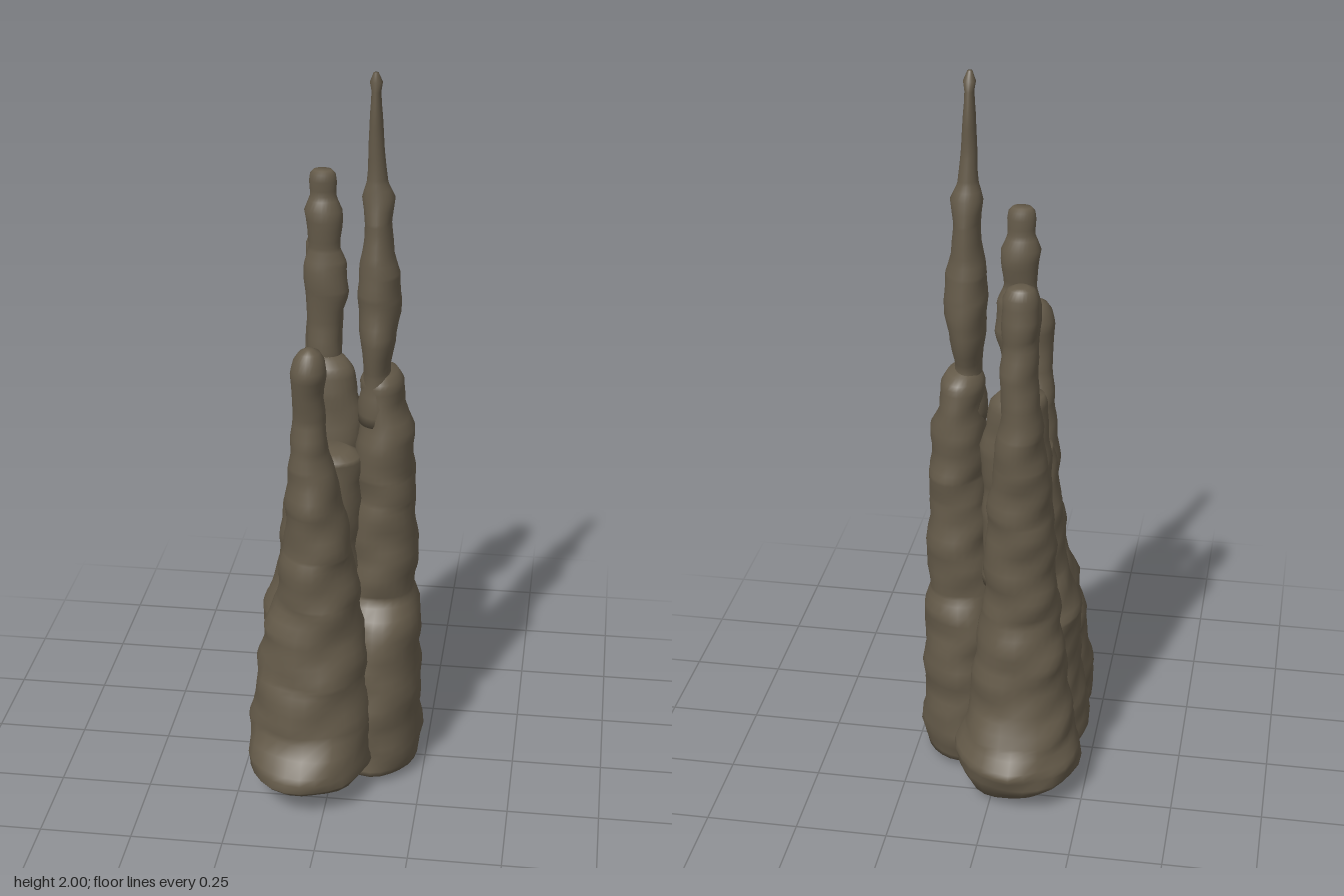
import * as THREE from 'three';

const SIDES = 26;

// Uneven, softly ledged rock surface: a signed radial offset around zero
function bump(x, y, z, seed) {
  return 0.45 * Math.sin(y * 34 + Math.sin(x * 17 + seed) * 2 + z * 9)
    + 0.35 * Math.sin(x * 31 + y * 13 + seed * 2.1) * Math.cos(z * 28 - y * 11)
    + 0.3 * Math.sin(y * 63 + x * 21 - z * 25 + seed);
}

// Closed column through cross-sections [y, centreX, centreZ, radiusX, radiusZ]
function column(name, rings, material, seed) {
  const last = rings.length - 1;
  const height = rings[last][0] - rings[0][0];
  const steps = Math.max(16, Math.round(height / 0.028));
  const section = (y) => {
    let i = 0;
    while (i < last - 1 && rings[i + 1][0] < y) i++;
    const a = rings[i], b = rings[i + 1];
    const t = THREE.MathUtils.clamp((y - a[0]) / (b[0] - a[0]), 0, 1);
    const s = t * 0.5 + t * t * (3 - 2 * t) * 0.5;
    return a.map((v, k) => v + (b[k] - v) * s);
  };
  // regular levels plus the profile's own levels
  const levels = new Set(rings.map((r) => r[0]));
  for (let i = 1; i < steps; i++) {
    const y = rings[0][0] + height * i / steps;
    if (rings.every((r) => Math.abs(r[0] - y) > 0.008)) levels.add(y);
  }
  const ys = [...levels].sort((a, b) => a - b);
  const pos = [], index = [];
  for (const y of ys) {
    const [, cx, cz, rx, rz] = section(y);
    const amount = Math.min(0.009, Math.min(rx, rz) * 0.1);
    for (let j = 0; j < SIDES; j++) {
      const a = j / SIDES * Math.PI * 2;
      const dx = Math.sin(a), dz = Math.cos(a);
      const d = amount * bump(cx + dx * rx, y, cz + dz * rz, seed);
      pos.push(cx + dx * (rx + d), y, cz + dz * (rz + d));
    }
  }
  for (let i = 0; i < ys.length - 1; i++) {
    for (let j = 0; j < SIDES; j++) {
      const a = i * SIDES + j, b = i * SIDES + (j + 1) % SIDES;
      index.push(a, b, b + SIDES, a, b + SIDES, a + SIDES);
    }
  }
  // end caps
  const n = ys.length * SIDES, top = n - SIDES;
  pos.push(rings[0][1], rings[0][0], rings[0][2], rings[last][1], rings[last][0], rings[last][2]);
  for (let j = 0; j < SIDES; j++) {
    const k = (j + 1) % SIDES;
    index.push(n, k, j, n + 1, top + j, top + k);
  }
  const geometry = new THREE.BufferGeometry();
  geometry.setAttribute('position', new THREE.Float32BufferAttribute(pos, 3));
  geometry.setIndex(index);
  geometry.computeVertexNormals();
  const mesh = new THREE.Mesh(geometry, material);
  mesh.name = name;
  return mesh;
}

export function createModel() {
  const rock = new THREE.MeshStandardMaterial({ color: 0x645a49 });
  rock.name = 'brown rock';
  const group = new THREE.Group();
  group.name = 'stalagmiteCluster';

  const parts = {
    // tall needle on the left, standing on a thick trunk
    tallSpire: [
      [1.05, 0.11, -0.01, 0.06, 0.07], [1.2, 0.102, -0.005, 0.037, 0.062],
      [1.28, 0.104, -0.01, 0.045, 0.077], [1.4, 0.105, -0.017, 0.06, 0.073],
      [1.46, 0.104, -0.012, 0.053, 0.065], [1.52, 0.102, -0.012, 0.042, 0.06],
      [1.6, 0.102, -0.017, 0.036, 0.052], [1.67, 0.1, -0.015, 0.041, 0.038],
      [1.71, 0.098, -0.012, 0.028, 0.031], [1.8, 0.096, -0.007, 0.02, 0.023],
      [1.89, 0.095, -0.004, 0.016, 0.025], [1.95, 0.095, 0, 0.013, 0.02],
      [1.975, 0.095, 0.003, 0.016, 0.015], [2, 0.095, 0.008, 0.006, 0.006]],
    leftTrunk: [
      [0.015, 0.1, 0, 0.09, 0.12], [0.03, 0.11, 0, 0.12, 0.165],
      [0.12, 0.11, 0, 0.128, 0.172], [0.3, 0.112, 0, 0.12, 0.168],
      [0.47, 0.11, -0.01, 0.118, 0.148], [0.54, 0.115, -0.025, 0.1, 0.112],
      [0.75, 0.125, -0.023, 0.092, 0.108], [0.82, 0.125, -0.02, 0.082, 0.1],
      [0.9, 0.127, -0.02, 0.08, 0.103], [1.03, 0.125, -0.02, 0.076, 0.097],
      [1.09, 0.12, -0.024, 0.058, 0.09], [1.16, 0.118, -0.024, 0.058, 0.08],
      [1.19, 0.113, -0.018, 0.043, 0.06], [1.2, 0.105, -0.01, 0.02, 0.03]],
    // front column with a rounded tip
    frontColumn: [
      [0.025, -0.06, 0.13, 0.08, 0.12], [0.05, -0.06, 0.15, 0.14, 0.17],
      [0.09, -0.06, 0.17, 0.17, 0.198], [0.13, -0.06, 0.165, 0.17, 0.193],
      [0.2, -0.058, 0.14, 0.168, 0.165], [0.35, -0.055, 0.13, 0.155, 0.152],
      [0.5, -0.05, 0.125, 0.135, 0.13], [0.58, -0.04, 0.13, 0.112, 0.122],
      [0.72, -0.04, 0.13, 0.095, 0.11], [0.85, -0.045, 0.135, 0.077, 0.098],
      [0.97, -0.055, 0.15, 0.062, 0.07], [1.03, -0.057, 0.157, 0.05, 0.055],
      [1.1, -0.058, 0.162, 0.044, 0.04], [1.18, -0.057, 0.17, 0.042, 0.043],
      [1.25, -0.056, 0.178, 0.046, 0.049], [1.29, -0.055, 0.178, 0.04, 0.044],
      [1.31, -0.054, 0.178, 0.028, 0.032], [1.32, -0.054, 0.178, 0.01, 0.012]],
    // broad blunt core between the spires
    centreCore: [
      [0.02, -0.05, 0, 0.1, 0.12], [0.05, -0.06, 0, 0.16, 0.16],
      [0.1, -0.07, 0, 0.172, 0.18], [0.2, -0.065, 0, 0.16, 0.18],
      [0.38, -0.06, 0, 0.145, 0.16], [0.48, -0.07, -0.01, 0.148, 0.14],
      [0.52, -0.065, -0.01, 0.13, 0.13], [0.6, -0.05, 0, 0.118, 0.125],
      [0.8, -0.04, 0.015, 0.108, 0.11], [0.92, -0.03, 0.025, 0.1, 0.085],
      [0.96, -0.03, 0.03, 0.09, 0.075], [0.975, -0.03, 0.03, 0.06, 0.05]],
    // knobbly column behind, with a short stump around it
    backInnerColumn: [
      [0.9, -0.06, -0.13, 0.06, 0.05], [1.2, -0.058, -0.13, 0.045, 0.042],
      [1.28, -0.055, -0.13, 0.046, 0.038], [1.36, -0.052, -0.13, 0.058, 0.045],
      [1.44, -0.053, -0.13, 0.058, 0.045], [1.49, -0.056, -0.13, 0.042, 0.036],
      [1.54, -0.057, -0.132, 0.047, 0.042], [1.59, -0.057, -0.132, 0.05, 0.041],
      [1.63, -0.058, -0.132, 0.036, 0.028], [1.67, -0.06, -0.13, 0.037, 0.029],
      [1.69, -0.06, -0.13, 0.034, 0.027], [1.7, -0.06, -0.13, 0.025, 0.02]],
    backStump: [
      [0.6, -0.05, -0.1, 0.1, 0.07], [0.9, -0.045, -0.1, 0.095, 0.065],
      [1.02, -0.04, -0.105, 0.092, 0.065], [1.1, -0.045, -0.11, 0.085, 0.062],
      [1.15, -0.05, -0.11, 0.075, 0.057], [1.18, -0.055, -0.115, 0.058, 0.045],
      [1.19, -0.055, -0.12, 0.03, 0.03]],
    backOuterColumn: [
      [0.005, -0.04, -0.15, 0.07, 0.1], [0.03, -0.05, -0.16, 0.13, 0.16],
      [0.08, -0.06, -0.17, 0.17, 0.19], [0.13, -0.063, -0.175, 0.172, 0.192],
      [0.19, -0.065, -0.17, 0.155, 0.165], [0.28, -0.065, -0.165, 0.14, 0.123],
      [0.42, -0.065, -0.165, 0.125, 0.113], [0.55, -0.065, -0.16, 0.105, 0.095],
      [0.7, -0.063, -0.165, 0.095, 0.088], [0.85, -0.063, -0.17, 0.088, 0.083],
      [1, -0.065, -0.18, 0.072, 0.077], [1.1, -0.067, -0.185, 0.06, 0.075],
      [1.18, -0.065, -0.187, 0.05, 0.06], [1.28, -0.063, -0.185, 0.05, 0.058],
      [1.36, -0.063, -0.182, 0.045, 0.048], [1.42, -0.066, -0.187, 0.048, 0.046],
      [1.48, -0.066, -0.187, 0.047, 0.042], [1.505, -0.066, -0.187, 0.034, 0.032],
      [1.51, -0.066, -0.187, 0.018, 0.018]],
  };

  Object.entries(parts).forEach(([name, rings], i) => group.add(column(name, rings, rock, i * 1.7)));

  // rest the base on the ground
  const box = new THREE.Box3().setFromObject(group);
  group.children.forEach((mesh) => mesh.geometry.translate(0, -box.min.y, 0));
  return group;
}
